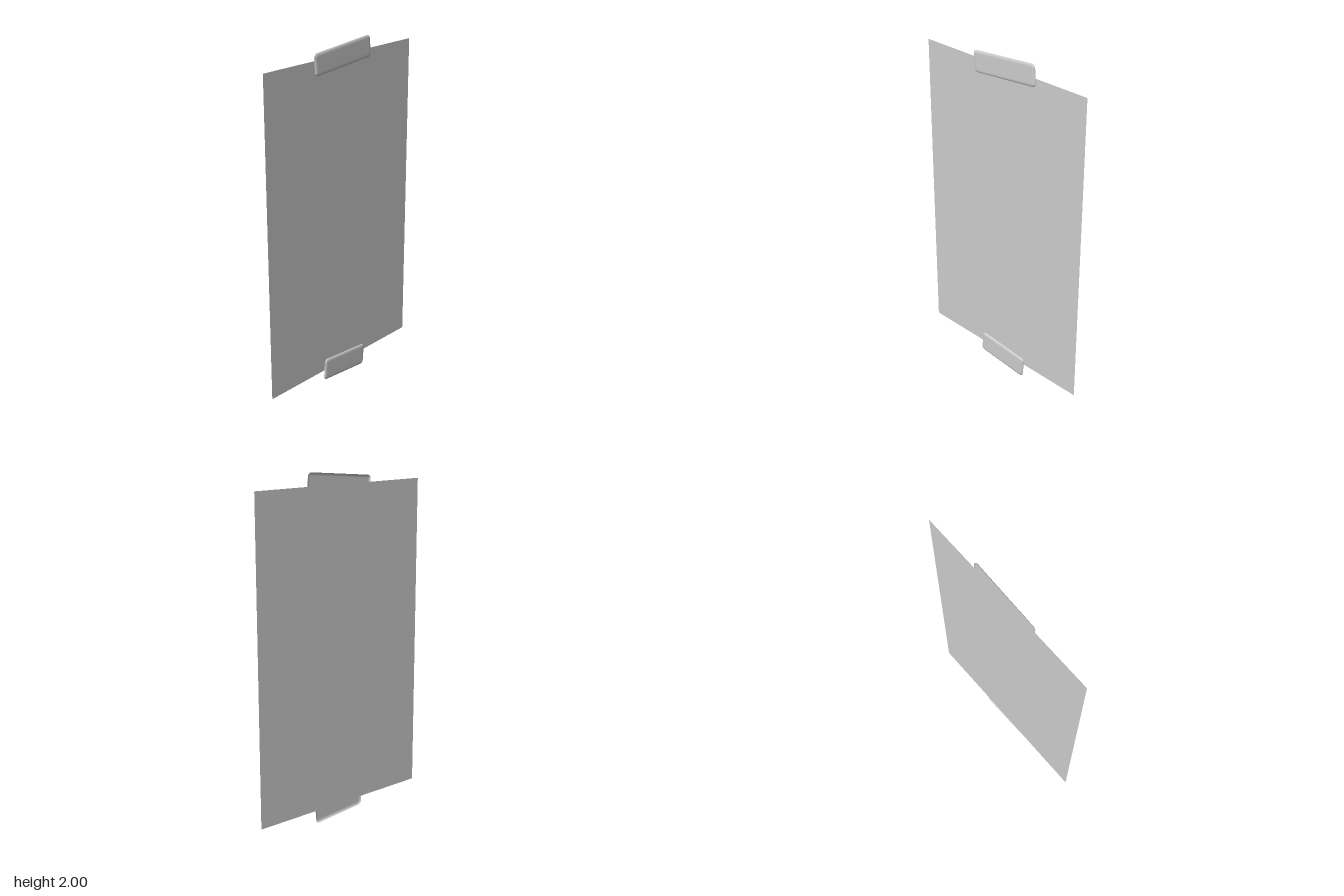
import * as THREE from 'three';

const material = new THREE.MeshStandardMaterial({ color: 0xcccccc, side: THREE.DoubleSide });

// Points round a rectangle with rounded corners, counter-clockwise
function roundedRect(w, h, r, steps = 6) {
  const points = [];
  for (let corner = 0; corner < 4; corner++) {
    const sx = corner === 0 || corner === 3 ? 1 : -1;
    const sy = corner < 2 ? 1 : -1;
    for (let i = 0; i <= steps; i++) {
      const a = (corner + i / steps) * Math.PI / 2;
      points.push([sx * (w / 2 - r) + r * Math.cos(a), sy * (h / 2 - r) + r * Math.sin(a)]);
    }
  }
  return points;
}

// Shallow open shell: a flat face with a softly rounded rim
function tapeGeometry(w, h, depth) {
  const rim = 0.018, rings = 6, positions = [], index = [];
  let count = 0;
  for (let k = 0; k <= rings; k++) {
    const a = (k / rings) * Math.PI / 2;
    const inset = rim * (1 - Math.cos(a));
    const loop = roundedRect(w - 2 * inset, h - 2 * inset, 0.022 - inset);
    count = loop.length;
    for (const [x, y] of loop) positions.push(x, y, depth * Math.sin(a));
  }
  for (let k = 0; k < rings; k++) {
    for (let i = 0; i < count; i++) {
      const a = k * count + i, b = k * count + (i + 1) % count;
      index.push(a, b, b + count, a, b + count, a + count);
    }
  }
  // Flat middle
  const centre = positions.length / 3;
  positions.push(0, 0, depth);
  for (let i = 0; i < count; i++) {
    index.push(rings * count + i, rings * count + (i + 1) % count, centre);
  }
  const geometry = new THREE.BufferGeometry();
  geometry.setAttribute('position', new THREE.Float32BufferAttribute(positions, 3));
  geometry.setIndex(index);
  geometry.computeVertexNormals();
  return geometry;
}

// Place a part so that its face looks towards +x, tilted in its own plane
function addPart(group, name, geometry, x, y, z, tilt = 0) {
  const mesh = new THREE.Mesh(geometry, material);
  mesh.name = name;
  mesh.position.set(x, y, z);
  mesh.rotation.set(0, Math.PI / 2, tilt);
  group.add(mesh);
}

export function createModel() {
  const group = new THREE.Group();
  group.name = 'tapedPoster';
  const tilt = THREE.MathUtils.degToRad(5);

  // Paper sheet, with a strip of tape at its top and bottom edges
  addPart(group, 'sheet', new THREE.PlaneGeometry(1.152, 1.84), -0.009, 1.004, 0);
  addPart(group, 'topTape', tapeGeometry(0.442, 0.124, 0.008), -0.0088, 1.919, -0.0125, tilt);
  addPart(group, 'bottomTape', tapeGeometry(0.344, 0.131, 0.009), 0, 0.08, -0.0125, -tilt);
  return group;
}
